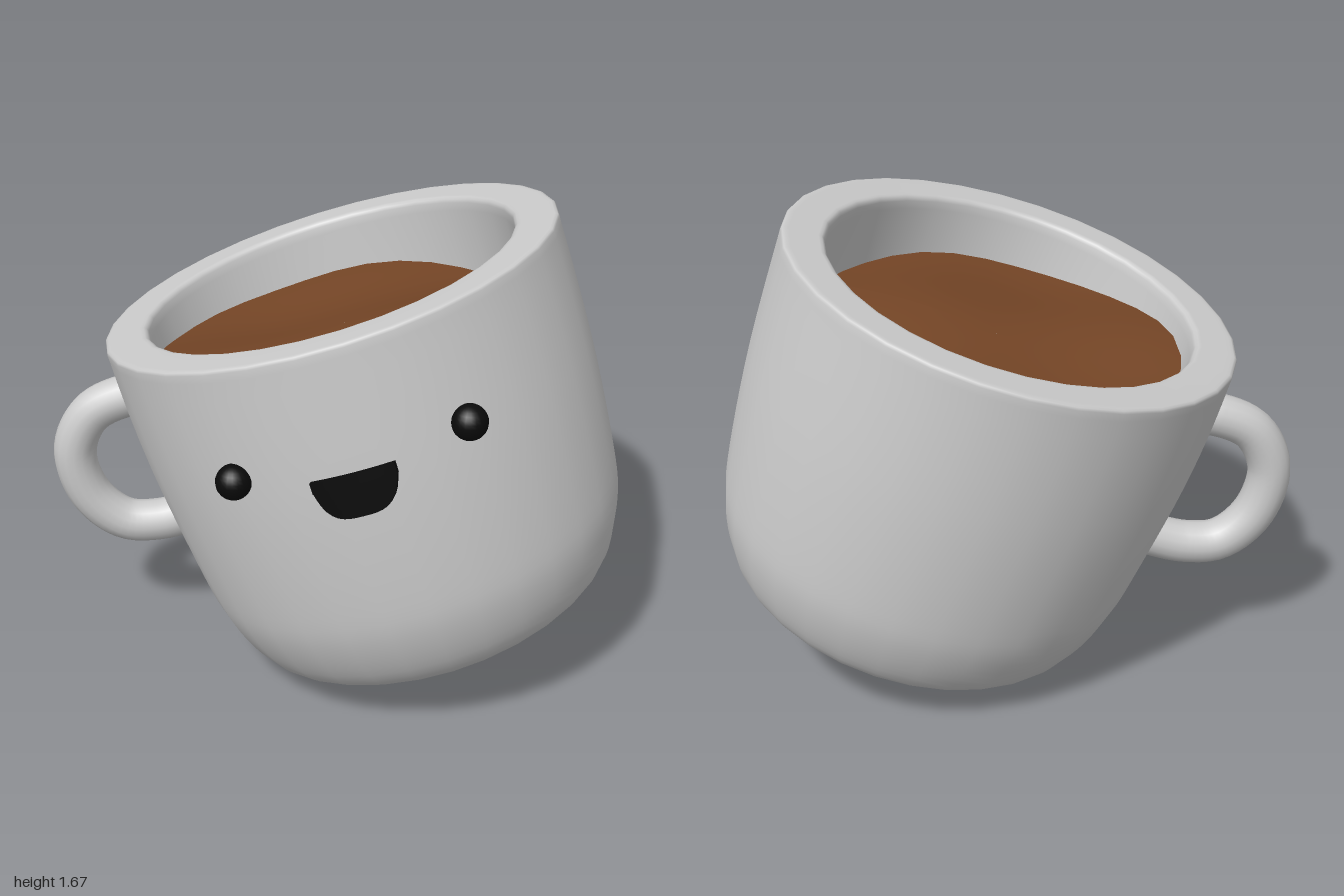
import * as THREE from 'three';

const grey = new THREE.MeshStandardMaterial({ color: 0xcccccc });
const brown = new THREE.MeshStandardMaterial({ color: 0x744526, side: THREE.DoubleSide });
const black = new THREE.MeshStandardMaterial({ color: 0x0a0a0a });
const V2 = (x, y) => new THREE.Vector2(x, y);
const V3 = (x, y, z) => new THREE.Vector3(x, y, z);

function part(name, geometry, material, parent) {
  const mesh = new THREE.Mesh(geometry, material);
  mesh.name = name;
  parent.add(mesh);
  return mesh;
}

// Thick-walled cup, rim at y = 0: full rounded base, softened rim, hollow inside
function cupGeometry() {
  const outside = new THREE.SplineCurve([
    V2(0, -1.4), V2(0.27, -1.39), V2(0.5, -1.36), V2(0.62, -1.31), V2(0.71, -1.235),
    V2(0.782, -1.07), V2(0.81, -0.88), V2(0.826, -0.5), V2(0.82, -0.04),
  ]).getPoints(36);
  const rimAndInside = [
    V2(0.82, -0.012), V2(0.816, -0.003), V2(0.807, 0), V2(0.795, 0),
    V2(0.69, 0), V2(0.678, -0.002), V2(0.669, -0.008), V2(0.664, -0.02), V2(0.662, -0.05),
    V2(0.655, -0.5), V2(0.62, -0.95), V2(0.5, -1.17), V2(0, -1.22),
  ];
  const geo = new THREE.LatheGeometry([...outside, ...rimAndInside], 32);
  // The base narrows a little sideways and drifts to one side
  const p = geo.attributes.position;
  for (let i = 0; i < p.count; i++) {
    const t = THREE.MathUtils.smoothstep(-p.getY(i), 0.1, 1.1);
    p.setX(i, p.getX(i) * (1 - 0.04 * t) + 0.02 * t);
  }
  return geo;
}

// Rippled drink surface, settling towards level inside the leaning cup
function drinkGeometry() {
  const geo = new THREE.RingGeometry(0.001, 0.662, 32, 12).rotateX(-Math.PI / 2);
  const p = geo.attributes.position;
  for (let i = 0; i < p.count; i++) {
    const x = p.getX(i), z = p.getZ(i);
    const ripple = 0.016 * Math.sin(7 * z + 3 * x + 0.6) + 0.014 * Math.sin(6 * x - 3 * z);
    p.setY(i, -0.21 - 0.1 * x + 0.06 * z + ripple);
  }
  geo.computeVertexNormals();
  return geo;
}

// Smiling mouth: a thin slab with a rounded lower edge, wrapped round the cup
function mouthGeometry() {
  const geo = new THREE.BoxGeometry(1, 1, 1, 20, 4, 1);
  const p = geo.attributes.position;
  for (let i = 0; i < p.count; i++) {
    const s = Math.sin(p.getX(i) * Math.PI);
    const depth = Math.max(0.04, 0.148 * Math.sqrt(Math.max(0, 1 - Math.abs(s) ** 3.5)));
    const x = 0.23 + 0.133 * s;
    const radius = 0.848 + 0.014 * p.getZ(i);
    p.setXYZ(i, x, -0.409 - (0.5 - p.getY(i)) * depth, Math.sqrt(radius * radius - x * x));
  }
  geo.computeVertexNormals();
  return geo;
}

export function createModel() {
  const model = new THREE.Group();
  model.name = 'smilingMug';

  // Leaning cup with its drink and mouth
  const tilted = new THREE.Group();
  tilted.name = 'tiltedCup';
  tilted.position.set(-0.04, 1.44, -0.018);
  tilted.rotation.set(0.034, 0, 0.298, 'ZXY');
  model.add(tilted);
  part('cup', cupGeometry(), grey, tilted);
  part('drink', drinkGeometry(), brown, tilted);
  part('mouth', mouthGeometry(), black, tilted);

  // Eyes
  const eyes = [['rightEye', -0.085, 1.0, 0.79], ['leftEye', 0.632, 1.225, 0.577]];
  for (const [name, x, y, z] of eyes) {
    part(name, new THREE.SphereGeometry(0.06, 20, 14), black, model).position.set(x, y, z);
  }

  // Handle, swung slightly towards the front
  const path = [
    [-0.64, 0.96], [-0.74, 0.95], [-0.86, 0.885], [-0.922, 0.74],
    [-0.88, 0.56], [-0.77, 0.45], [-0.65, 0.44], [-0.48, 0.49],
  ].map(([x, y]) => V3(x, y, 0.27 - 0.4 * (x + 0.92)));
  const curve = new THREE.CatmullRomCurve3(path);
  part('handle', new THREE.TubeGeometry(curve, 40, 0.078, 16), grey, model);

  return model;
}
